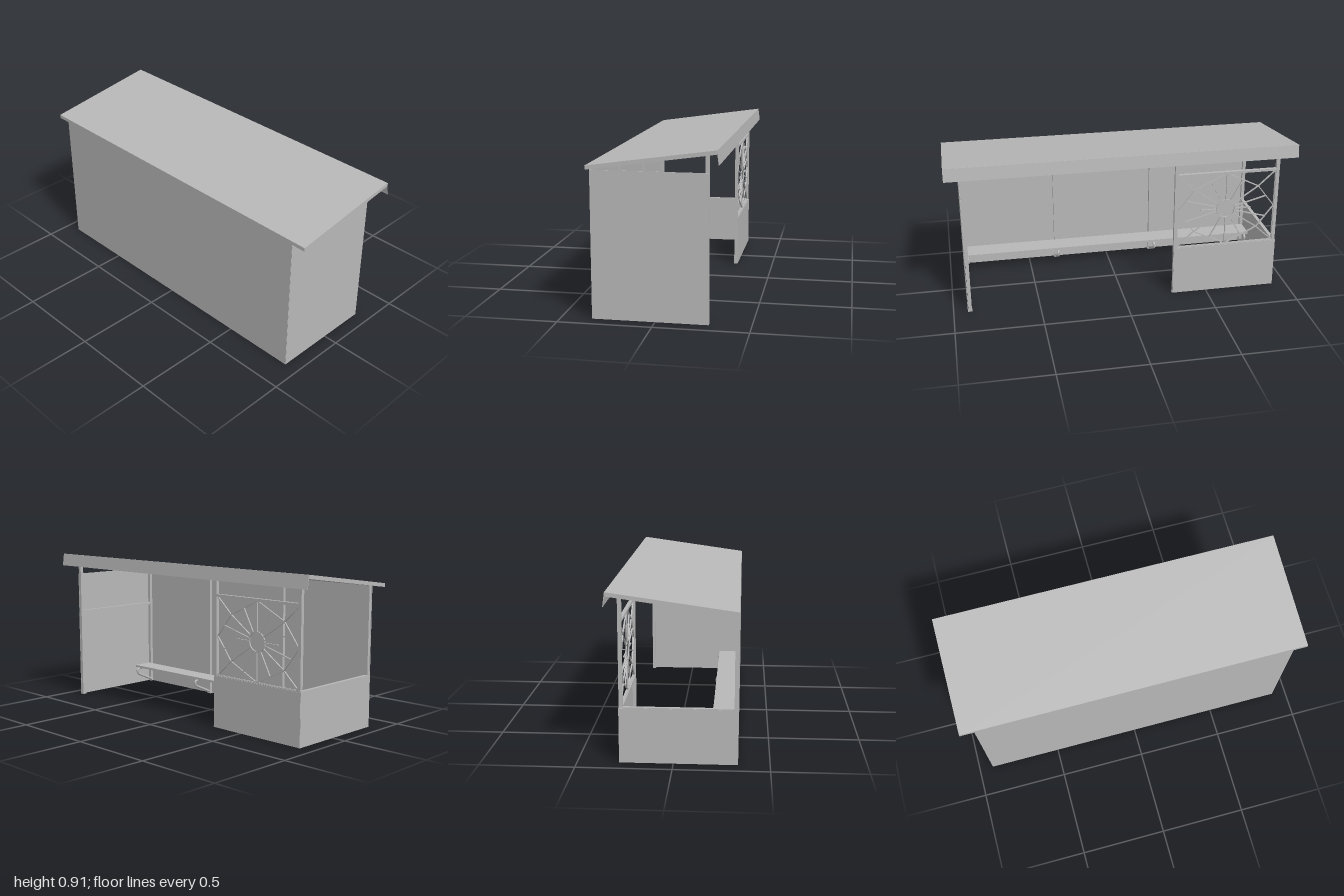
import * as THREE from 'three';

export function createModel() {
  const g = new THREE.Group();
  const grey = new THREE.MeshStandardMaterial({ color: 0xb8b8b8, side: THREE.DoubleSide });
  grey.name = 'painted grey metal';

  const add = (name, geo, parent = g) => {
    const m = new THREE.Mesh(geo, grey);
    m.name = name;
    parent.add(m);
    return m;
  };
  // box given by its min and max corners
  const box = (name, x0, x1, y0, y1, z0, z1) =>
    add(name, new THREE.BoxGeometry(x1 - x0, y1 - y0, z1 - z0)
      .translate((x0 + x1) / 2, (y0 + y1) / 2, (z0 + z1) / 2));
  // side profile in x, y, extruded along z
  const prism = (name, pts, z0, z1) => {
    const s = new THREE.Shape(pts.map(p => new THREE.Vector2(p[0], p[1])));
    return add(name, new THREE.ExtrudeGeometry(s, { depth: z1 - z0, bevelEnabled: false }).translate(0, 0, z0));
  };

  const back = -0.333, front = 0.28, end = 0.918, t = 0.02;
  const slope = 0.092 / 0.665;
  const under = x => 0.801 + (x + 0.335) * slope; // roof underside height

  // sloping roof and its hanging front fascia
  prism('roof', [[-0.335, 0.801], [0.33, 0.893], [0.328, 0.914], [-0.335, 0.822]], -1, 1);
  prism('fascia', [[0.328, 0.914], [0.331, 0.914], [0.341, 0.84], [0.338, 0.84]], -1, 1);

  // sheet walls
  box('backWall', back - 0.002, back + 0.001, 0, 0.808, -end, end);
  box('tallEndWall', back, front, 0, 0.787, end - 0.002, end + 0.001);
  box('lowEndWall', back, front, 0, 0.295, -end - 0.001, -end + 0.002);
  box('lowFrontWall', front - 0.001, front + 0.002, 0, 0.295, -end, -0.297);

  // posts with sloping tops and small feet
  const post = (name, x, z) => {
    prism(name, [[x, 0], [x + t, 0], [x + t, under(x + t)], [x, under(x)]], z - t / 2, z + t / 2);
    box('foot', x - 0.002, x + t, 0, 0.006, z - 0.013, z + 0.013);
  };
  const bays = [0.905, 0.327, -0.288, -0.905];
  bays.forEach(z => post('backPost', back, z));
  [0.905, -0.305, -0.905].forEach(z => post('frontPost', front - t, z));

  // rafters under the roof
  bays.slice(1, 3).forEach(z =>
    prism('rafter', [[back, under(back) - 0.015], [0.325, under(0.325) - 0.015],
      [0.325, under(0.325)], [back, under(back)]], z - 0.008, z + 0.008));

  // horizontal rails
  box('tallWallRail', back, front, 0.535, 0.55, end - t, end);
  box('lowWallRail', back, front, 0.285, 0.3, -end, -end + t);
  box('screenBottomRail', front - t, front, 0.285, 0.3, -0.905, -0.305);
  box('screenTopRail', front - t, front, 0.743, 0.757, -0.905, -0.305);

  // bench and its bent tube brackets
  box('benchSeat', -0.312, -0.188, 0.112, 0.126, -0.91, 0.91);
  const path = new THREE.CurvePath();
  const v = (x, y) => new THREE.Vector3(x, y, 0);
  path.add(new THREE.LineCurve3(v(-0.318, 0.104), v(-0.21, 0.104)));
  path.add(new THREE.QuadraticBezierCurve3(v(-0.21, 0.104), v(-0.18, 0.104), v(-0.188, 0.08)));
  path.add(new THREE.QuadraticBezierCurve3(v(-0.188, 0.08), v(-0.19, 0.07), v(-0.205, 0.063)));
  path.add(new THREE.LineCurve3(v(-0.205, 0.063), v(-0.318, 0.012)));
  const bracketGeo = new THREE.TubeGeometry(path, 32, 0.008, 8);
  [0.89, 0.327, -0.288, -0.89].forEach(z => { add('benchBracket', bracketGeo).position.z = z; });

  // sunburst screen, drawn in its own plane and turned to face +x
  const screen = new THREE.Group();
  screen.name = 'sunburstScreen';
  screen.position.set(front - t / 2, 0.522, -0.605);
  screen.rotation.y = Math.PI / 2;
  g.add(screen);
  const bar = (a, b) => {
    const dx = b[0] - a[0], dy = b[1] - a[1];
    const m = add('screenBar', new THREE.BoxGeometry(Math.hypot(dx, dy), 0.006, 0.008), screen);
    m.position.set((a[0] + b[0]) / 2, (a[1] + b[1]) / 2, 0);
    m.rotation.z = Math.atan2(dy, dx);
  };
  const R = 0.055, W = 0.29, H = 0.222;
  const spoke = p => {
    const k = R / Math.hypot(p[0], p[1]);
    bar([p[0] * k, p[1] * k], p);
  };
  const ring = new THREE.Shape().absarc(0, 0, R + 0.003, 0, Math.PI * 2);
  ring.holes.push(new THREE.Path().absarc(0, 0, R - 0.004, 0, Math.PI * 2, true));
  add('screenRing', new THREE.ExtrudeGeometry(ring, { depth: 0.008, bevelEnabled: false, curveSegments: 24 })
    .translate(0, 0, -0.004), screen);
  for (const sx of [-1, 1]) {
    bar([sx * W, -H], [sx * W, H]);
    bar([-W, sx * H], [W, sx * H]);
    spoke([sx * 0.15, 0]);
    spoke([0, sx * H]);
    for (const sy of [-1, 1]) {
      const node = [sx * 0.19, sy * 0.13];
      bar(node, [sx * W, sy * H]);
      bar(node, [sx * W, 0]);
      bar(node, [0, sy * H]);
      spoke(node);
      spoke([sx * 0.095, sy * 0.176]);
      spoke([sx * 0.24, sy * 0.065]);
    }
  }
  return g;
}
